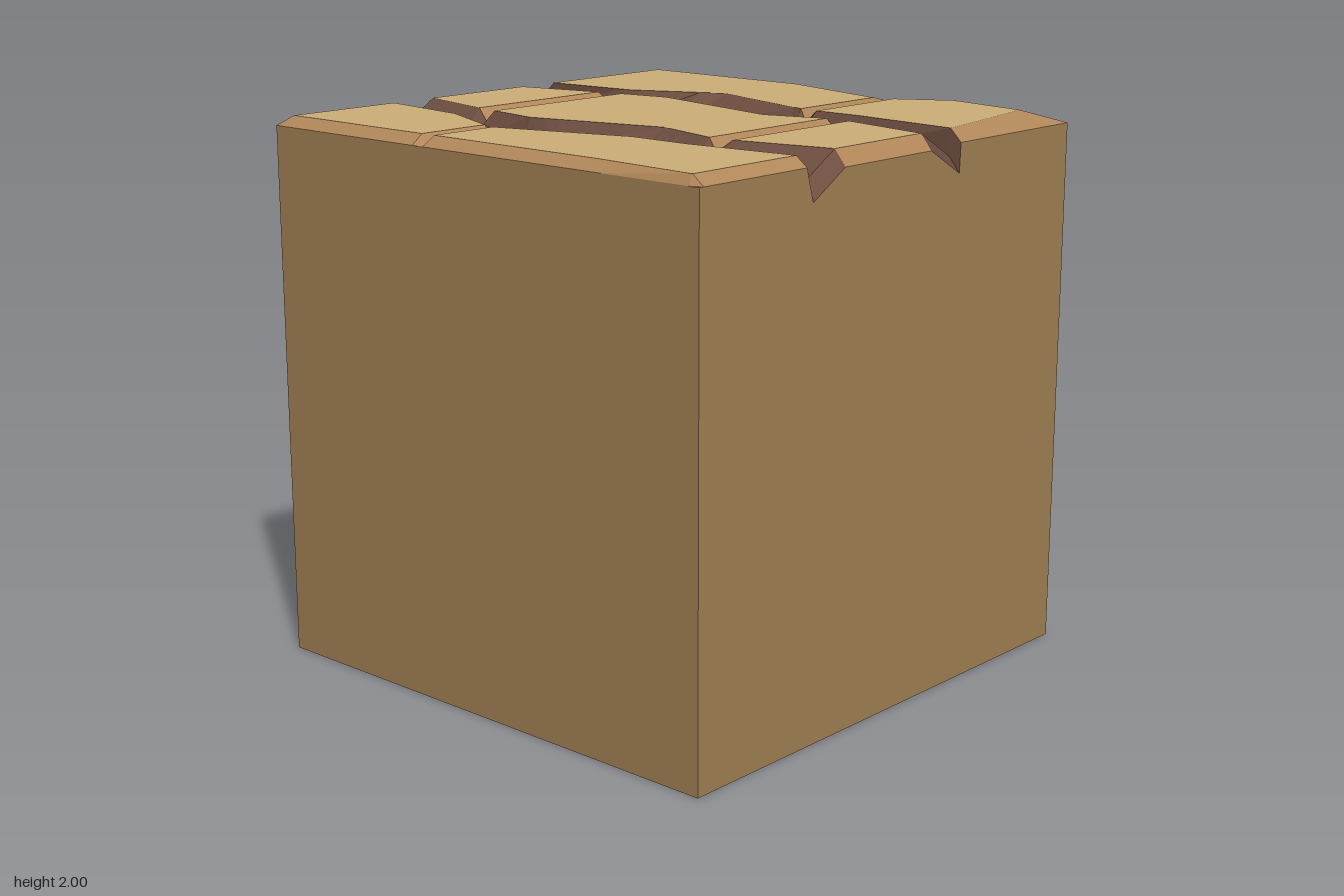
import * as THREE from 'three';

// Piecewise linear lookup: table of [z, value]
function at(table, z) {
  if (z <= table[0][0]) return table[0][1];
  for (let i = 1; i < table.length; i++) {
    const [z0, v0] = table[i - 1], [z1, v1] = table[i];
    if (z <= z1) return v0 + ((v1 - v0) * (z - z0)) / (z1 - z0);
  }
  return table[table.length - 1][1];
}

function quadMesh(name, quads, color) {
  const pos = [];
  for (const [a, b, c, d] of quads) pos.push(...a, ...b, ...c, ...a, ...c, ...d);
  const geo = new THREE.BufferGeometry();
  geo.setAttribute('position', new THREE.Float32BufferAttribute(pos, 3));
  geo.computeVertexNormals();
  const mesh = new THREE.Mesh(geo, new THREE.MeshStandardMaterial({ color, flatShading: true }));
  mesh.name = name;
  return mesh;
}

// The three planks: end height and the cross cracks (z before, at and after each)
const END = 0.955;
const planks = [
  { end: 1.965, cracks: [[-0.28, -0.23, -0.18]] },
  { end: 1.945, cracks: [[-0.62, -0.57, -0.52], [0.49, 0.53, 0.59]] },
  { end: 1.955, cracks: [[0.25, 0.29, 0.34]] },
];
const plankY = (p) => (z) => {
  if (Math.abs(z) === 1) return planks[p].end;
  return planks[p].cracks.some((c) => c[1] === z) ? 1.955 : 2;
};
const level = (y, endY) => (z) => (Math.abs(z) === 1 ? endY : y);

// Lengthwise rails from the -x side to the +x side: x along z, and height
const rails = [
  { x: [[0, -1]], y: level(1.965, 1.965) },
  { x: [[0.53, -0.955], [END, -0.98]], y: plankY(0) },
  { x: [[-END, -0.49], [-0.57, -0.54], [-0.23, -0.69], [0.29, -0.535], [0.53, -0.535], [END, -0.49]], y: plankY(0) },
  { x: [[0, -0.457]], y: level(1.905, 1.85) },
  { x: [[-END, -0.295], [-0.57, -0.385], [-0.3, -0.43], [0.22, -0.3], [0.53, -0.385], [END, -0.295]], y: plankY(1) },
  { x: [[-END, 0.17], [-0.57, 0.26], [-0.32, 0.305], [0.26, 0.175], [0.53, 0.26], [END, 0.17]], y: plankY(1) },
  { x: [[0, 0.335]], y: level(1.905, 1.85) },
  { x: [[-END, 0.34], [-0.57, 0.375], [-0.23, 0.54], [0.29, 0.38], [0.53, 0.38], [END, 0.34]], y: plankY(2) },
  { x: [[-0.22, 0.95], [0.25, 0.82], [0.29, 0.815], [0.34, 0.84], [0.53, 0.95], [END, 0.89]], y: plankY(2) },
  { x: [[0, 1]], y: level(1.955, 1.955) },
];
// What lies between neighbouring rails
const bands = ['edge', 0, 'groove', 'groove', 1, 'groove', 'groove', 2, 'edge'];

export function createModel() {
  const group = new THREE.Group();
  group.name = 'woodBlock';

  const stations = new Set([-1, -END, -0.32, -0.3, -0.22, 0.22, 0.26, END, 1]);
  for (const p of planks) for (const c of p.cracks) c.forEach((z) => stations.add(z));
  const zs = [...stations].sort((a, b) => a - b);

  // Grid of surface points; the front +x corner is chipped back
  const grid = rails.map((rail, i) => zs.map((z) => {
    const zPos = i === 8 && z === END ? 0.865 : z;
    return [at(rail.x, z), rail.y(z), zPos];
  }));

  const tops = [], bevels = [], grooves = [];
  bands.forEach((band, i) => {
    for (let j = 0; j < zs.length - 1; j++) {
      const quad = [grid[i][j], grid[i][j + 1], grid[i + 1][j + 1], grid[i + 1][j]];
      const atEnd = j === 0 || j === zs.length - 2;
      if (band === 'groove') grooves.push(quad);
      else if (band === 'edge' || atEnd) bevels.push(quad);
      else {
        const y = plankY(band);
        (y(zs[j]) === y(zs[j + 1]) ? tops : bevels).push(quad);
      }
    }
  });

  // Side walls hang from the rim of the grid, running once around the block
  const last = zs.length - 1;
  const rim = [
    ...grid.map((r) => r[last]),
    ...[...grid[9]].reverse(),
    ...grid.map((r) => r[0]).reverse(),
    ...grid[0],
  ];
  const floor = ([x, , z]) => [x, 0, z];
  const walls = [];
  for (let i = 0; i < rim.length - 1; i++) {
    const a = rim[i], b = rim[i + 1];
    if (a[0] === b[0] && a[2] === b[2]) continue;
    walls.push([a, floor(a), floor(b), b]);
  }
  walls.push([[-1, 0, -1], [1, 0, -1], [1, 0, 1], [-1, 0, 1]]);

  group.add(
    quadMesh('body', walls, 0xa38154),
    quadMesh('plankTops', tops, 0xcdb078),
    quadMesh('bevelsAndCracks', bevels, 0xb3885a),
    quadMesh('grooves', grooves, 0x6e4e41),
  );
  return group;
}
